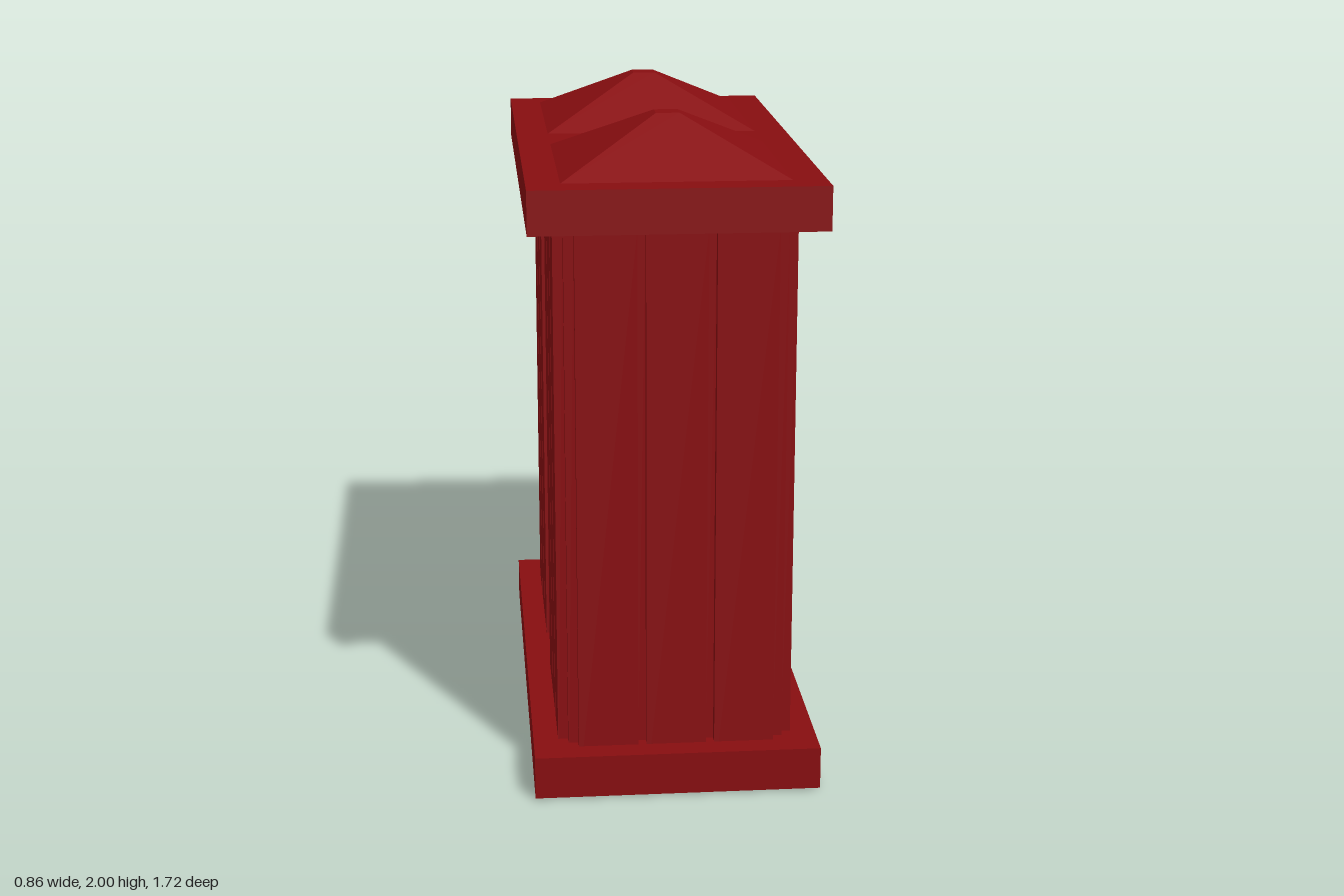
import * as THREE from 'three';

const OUT = 0.355, IN = 0.325; // panel face and groove floor distances

// One quarter of the fluted outline: three raised panels and a stepped corner
const SIDE = [
  [-0.295, IN], [-0.295, OUT], [-0.115, OUT], [-0.115, IN],
  [-0.09, IN], [-0.09, OUT], [0.09, OUT], [0.09, IN],
  [0.115, IN], [0.115, OUT], [0.295, OUT], [0.295, IN], [IN, IN],
];

// Open upright shell following a closed outline of [x, z] points
function shell(outline, y0, y1) {
  const positions = [];
  outline.forEach(([ax, az], i) => {
    const [bx, bz] = outline[(i + 1) % outline.length];
    positions.push(ax, y0, az, bx, y0, bz, bx, y1, bz);
    positions.push(ax, y0, az, bx, y1, bz, ax, y1, az);
  });
  const geometry = new THREE.BufferGeometry();
  geometry.setAttribute('position', new THREE.Float32BufferAttribute(positions, 3));
  geometry.computeVertexNormals();
  return geometry;
}

// Repeat the side around all four faces
function columnOutline() {
  const points = [];
  let side = SIDE;
  for (let i = 0; i < 4; i++) {
    points.push(...side);
    side = side.map(([x, z]) => [z, -x]);
  }
  return points;
}

// Box without its underside
function hollowBox(width, height, depth) {
  const box = new THREE.BoxGeometry(width, height, depth);
  const index = Array.from(box.index.array);
  index.splice(18, 6);
  box.setIndex(index);
  box.clearGroups();
  return box;
}

export function createModel() {
  const model = new THREE.Group();
  model.name = 'twinColumns';

  const red = new THREE.MeshStandardMaterial({ color: 0x870d10, side: THREE.DoubleSide });
  red.name = 'darkRed';

  function add(name, geometry, y, z = 0) {
    const mesh = new THREE.Mesh(geometry, red);
    mesh.name = name;
    mesh.position.set(0, y, z);
    model.add(mesh);
    return mesh;
  }

  // Shared hollow base and solid cap
  add('base', hollowBox(0.86, 0.13, 1.72), 0.07);
  add('cap', new THREE.BoxGeometry(0.86, 0.13, 1.72), 1.785);

  // Fluted columns and their truncated pyramid roofs
  const column = shell(columnOutline(), 0, 1.72);
  const roof = new THREE.CylinderGeometry(0.035 * Math.SQRT2, 0.331 * Math.SQRT2, 0.15, 4)
    .toNonIndexed();
  roof.rotateY(Math.PI / 4);
  roof.computeVertexNormals();
  for (const [label, z] of [['front', 0.43], ['back', -0.43]]) {
    add(label + 'Column', column, 0, z);
    add(label + 'Roof', roof, 1.925, z);
  }
  return model;
}
